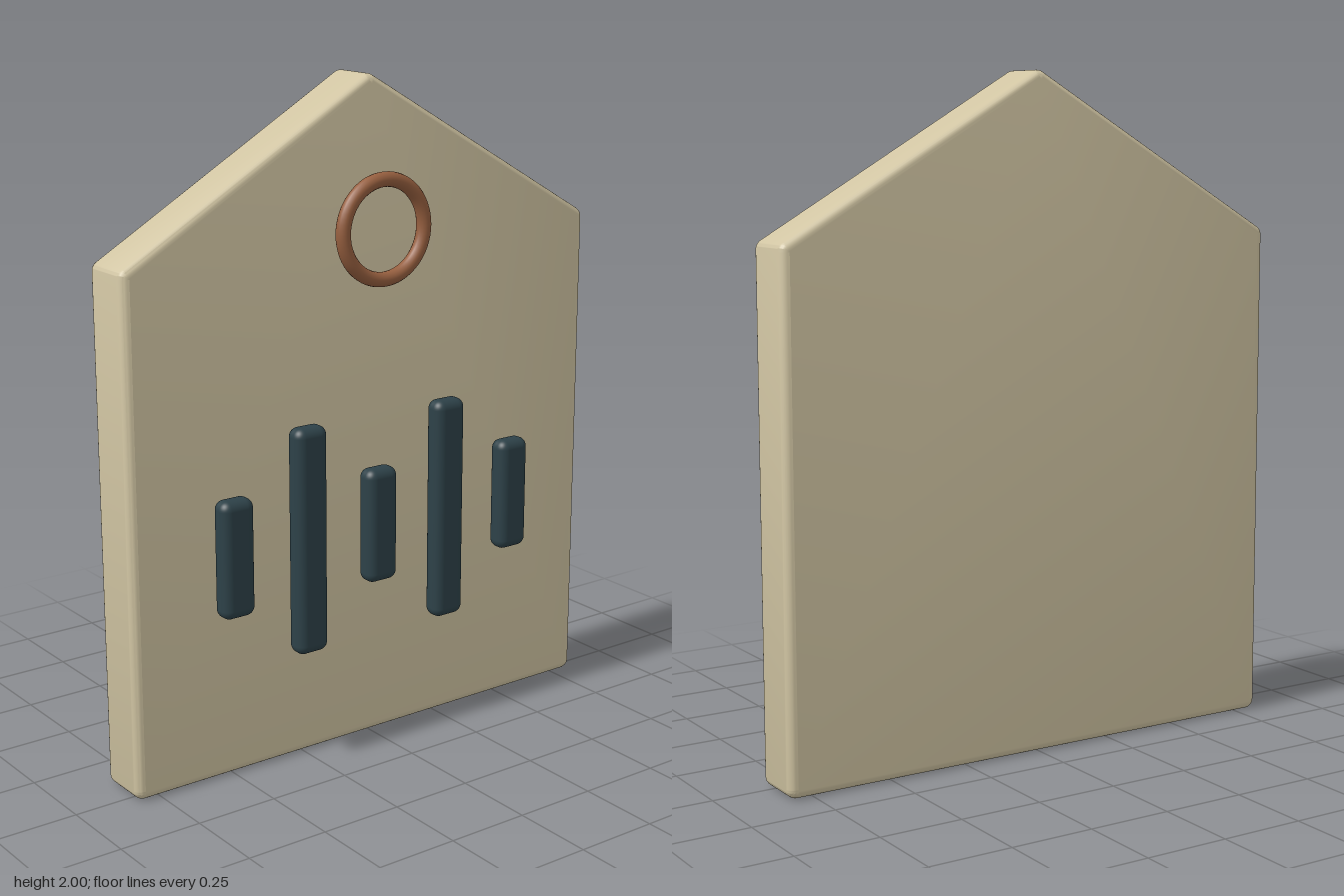
import * as THREE from 'three';
import { toCreasedNormals } from 'three/addons/utils/BufferGeometryUtils.js';
import { RoundedBoxGeometry } from 'three/addons/geometries/RoundedBoxGeometry.js';

const paint = (name, color) => {
  const material = new THREE.MeshStandardMaterial({ color });
  material.name = name;
  return material;
};

export function createModel() {
  const group = new THREE.Group();
  const cream = paint('cream', 0xd0c4a2);
  const slate = paint('dark slate', 0x2d4148);
  const copper = paint('copper', 0x965f3f);

  const add = (name, geometry, material, x, y, z) => {
    const mesh = new THREE.Mesh(geometry, material);
    mesh.name = name;
    mesh.position.set(x, y, z);
    group.add(mesh);
    return mesh;
  };

  // Gabled panel: each corner is an arc (centre x, centre y, start and end degrees)
  const r = 0.03, w = 0.796, apex = 1.97;
  const eave = apex - w * Math.tan(Math.PI / 6);
  const outline = new THREE.Shape();
  [
    [w, 0.03, -90, 0],
    [w, eave, 0, 60],
    [0, apex, 60, 120],
    [-w, eave, 120, 180],
    [-w, 0.03, 180, 270],
  ].forEach(([x, y, a, b]) =>
    outline.absarc(x, y, r, THREE.MathUtils.degToRad(a), THREE.MathUtils.degToRad(b), false));
  outline.closePath();

  const bevel = 0.026, back = -0.128, front = 0.046;
  const panel = new THREE.ExtrudeGeometry(outline, {
    depth: front - back - 2 * bevel,
    bevelThickness: bevel, bevelSize: bevel, bevelOffset: -bevel,
    bevelSegments: 6, curveSegments: 8,
  });
  add('panel', toCreasedNormals(panel, 0.5), cream, 0, 0, back + bevel);

  // Ring floating in front of the gable
  add('ring', new THREE.TorusGeometry(0.144, 0.022, 16, 64), copper, 0.005, 1.565, 0.098);

  // Row of alternating short and tall bars
  for (let i = 0; i < 5; i++) {
    const height = i % 2 ? 0.685 : 0.35;
    add('bar' + (i + 1), new RoundedBoxGeometry(0.108, height, 0.068, 5, 0.028), slate,
      -0.012 + (i - 2) * 0.253, 0.687, 0.096);
  }
  return group;
}
